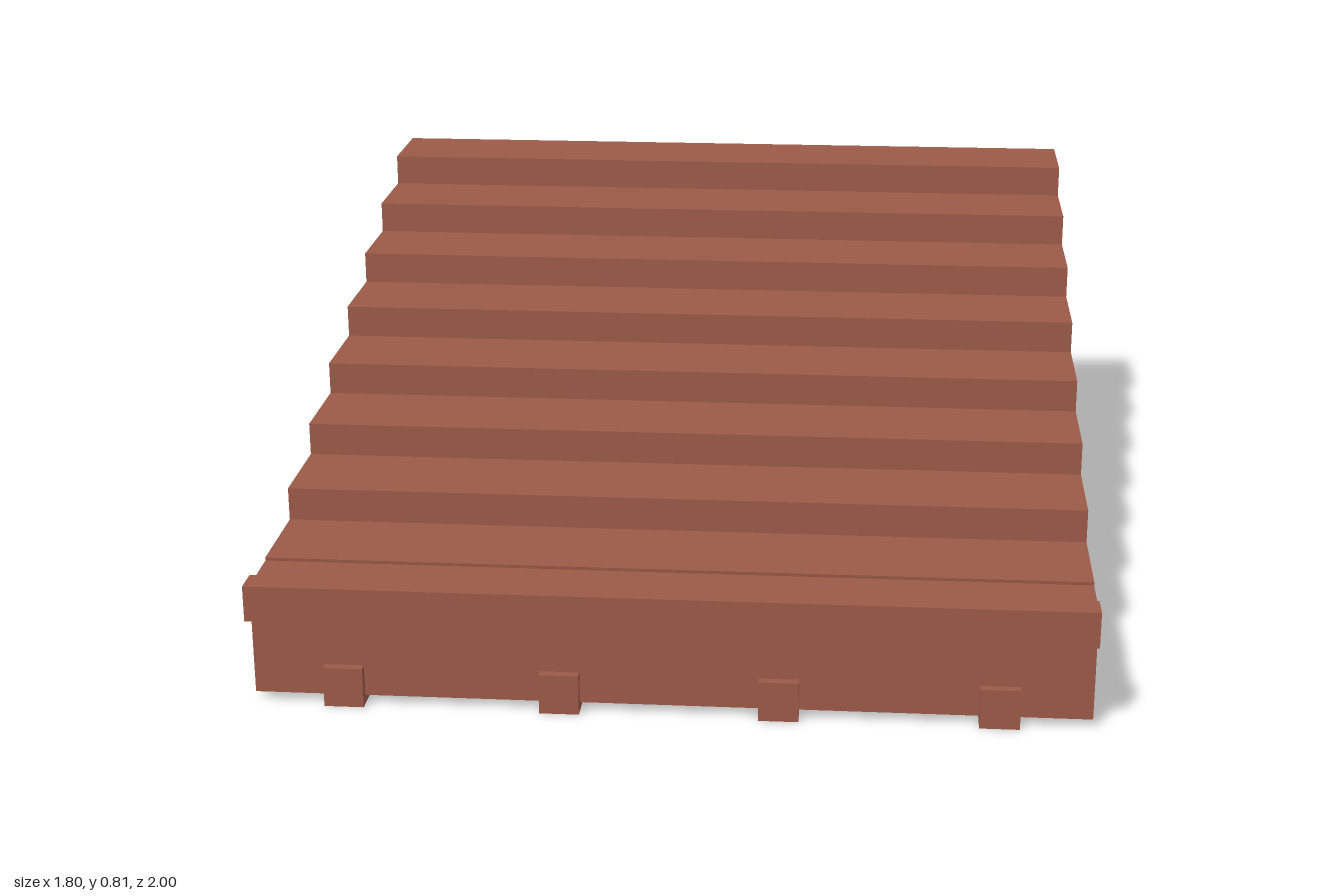
import * as THREE from 'three';

const WIDTH = 1.8, STEPS = 8, RUN = 0.2257, RISE = 0.0757;

export function createModel() {
  const model = new THREE.Group();
  model.name = 'staircase';
  const brick = new THREE.MeshStandardMaterial({ color: 0x9b5947 });
  brick.name = 'brick red';

  const add = (name, geometry) => {
    const mesh = new THREE.Mesh(geometry, brick);
    mesh.name = name;
    model.add(mesh);
    return mesh;
  };
  const addBox = (name, x, y0, y1, z0, z1, width) =>
    add(name, new THREE.BoxGeometry(width, y1 - y0, z1 - z0))
      .position.set(x, (y0 + y1) / 2, (z0 + z1) / 2);

  // Stepped slab: side profile drawn as (-z, y), from the top back step down
  const upper = [], lower = [];
  for (let i = 0; i < STEPS; i++) {
    const back = 1 - i * RUN;
    const front = i === STEPS - 1 ? 1 - STEPS * RUN : back - RUN;
    const top = 0.805 - i * RISE, bottom = 0.61 - i * RISE;
    upper.push([back, top], [front, top]);
    lower.push([back, bottom], [i === STEPS - 1 ? -0.785 : front, bottom]);
  }
  // Front edge beam closes the bottom of the profile
  const beam = [[-0.805, 0.268], [-0.945, 0.268], [-0.945, 0.02], [-0.785, 0.02]];
  const outline = [...upper, ...beam, ...lower.reverse()];
  const shape = new THREE.Shape(outline.map(([x, y]) => new THREE.Vector2(x, y)));
  const slab = new THREE.ExtrudeGeometry(shape, { depth: WIDTH, bevelEnabled: false });
  slab.translate(0, 0, -WIDTH / 2).rotateY(Math.PI / 2);
  add('steppedSlab', slab);

  // Raised lip along the front edge
  addBox('frontLip', 0, 0.21, 0.29, 0.938, 1, WIDTH);

  // Four support feet under the front beam
  for (const x of [-0.703, -0.236, 0.234, 0.703]) {
    addBox('supportFoot', x, 0, 0.09, 0.645, 0.965, 0.086);
  }
  return model;
}
